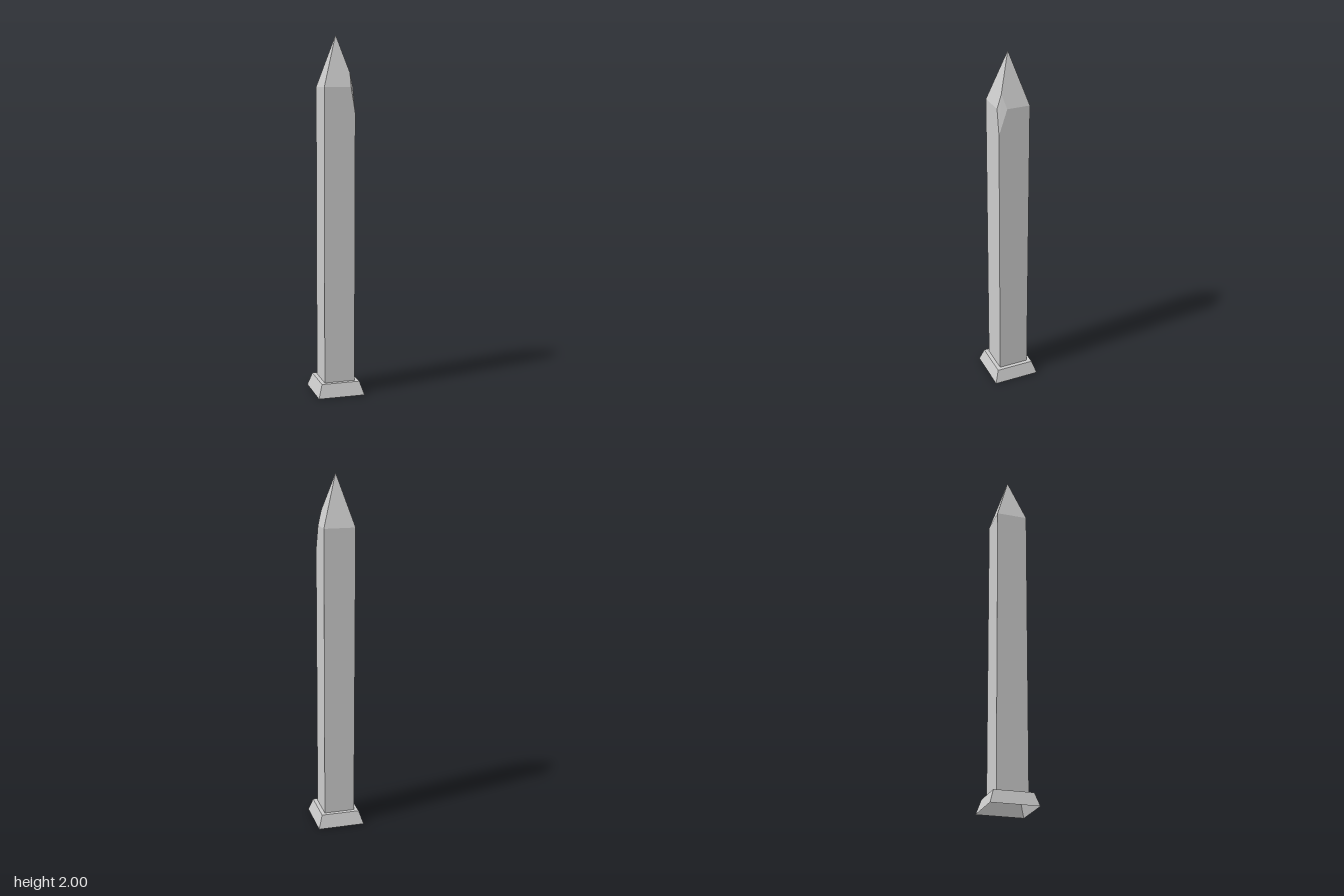
import * as THREE from 'three';

const material = new THREE.MeshStandardMaterial({ color: 0xcccccc, flatShading: true, side: THREE.DoubleSide });

// Flat convex faces, each a counter-clockwise list of corners, split into fans
function facesGeometry(faces) {
  const positions = [];
  for (const face of faces)
    for (let i = 1; i < face.length - 1; i++) positions.push(...face[0], ...face[i], ...face[i + 1]);
  const geometry = new THREE.BufferGeometry();
  geometry.setAttribute('position', new THREE.Float32BufferAttribute(positions, 3));
  geometry.computeVertexNormals();
  return geometry;
}

export function createModel() {
  const group = new THREE.Group();
  const add = (name, geometry) => {
    const mesh = new THREE.Mesh(geometry, material);
    mesh.name = name;
    group.add(mesh);
  };

  const baseHalf = 0.133, ledgeHalf = 0.109, half = 0.087;
  const ledgeY = 0.075, eaveY = 1.72, topY = 2;
  const diagonal = Math.SQRT2;

  // Sloped plinth, open underneath
  add('plinth', new THREE.CylinderGeometry(ledgeHalf * diagonal, baseHalf * diagonal, ledgeY, 4, 1, true)
    .rotateY(Math.PI / 4).translate(0, ledgeY / 2, 0));

  // Ledge between plinth and shaft
  add('ledge', new THREE.RingGeometry(half * diagonal, ledgeHalf * diagonal, 4, 1, Math.PI / 4)
    .rotateX(-Math.PI / 2).translate(0, ledgeY, 0));

  // Corners run front left, front right, back right, back left as seen from the front
  const corners = [[-1, 1], [1, 1], [1, -1], [-1, -1]];
  const low = corners.map(([x, z]) => [x * half, ledgeY, z * half]);
  const eave = corners.map(([x, z]) => [x * half, eaveY, z * half]);
  const apex = [0, topY, 0];

  // Corners of the chip broken out of the front +x edge
  const chipTop = [0.063, 1.797, 0.063];
  const chipFront = [0.063, eaveY, half];
  const chipSide = [half, eaveY, 0.04];
  const chipBottom = [half, 1.58, half];

  add('shaft', facesGeometry([
    [low[0], low[1], chipBottom, chipFront, eave[0]],
    [low[1], low[2], eave[2], chipSide, chipBottom],
    [low[2], low[3], eave[3], eave[2]],
    [low[3], low[0], eave[0], eave[3]],
  ]));

  add('pyramidCap', facesGeometry([
    [eave[0], chipFront, chipTop, apex],
    [chipSide, eave[2], apex, chipTop],
    [eave[2], eave[3], apex],
    [eave[3], eave[0], apex],
  ]));

  add('chippedCorner', facesGeometry([[chipTop, chipFront, chipBottom, chipSide]]));

  return group;
}
